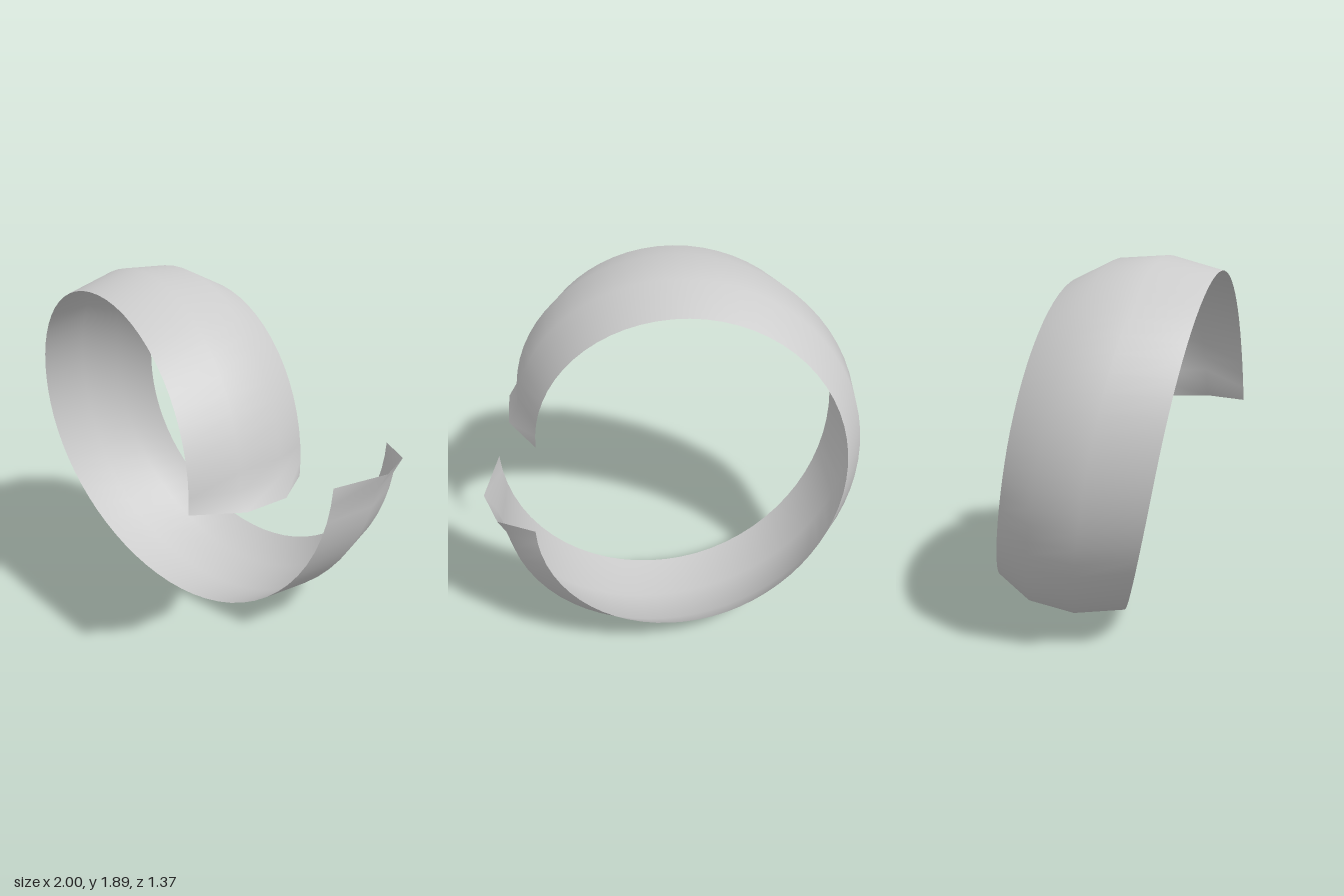
import * as THREE from 'three';

// Four edge lines of the band, each given as [radius, z] at every quarter turn;
// flare is how far the line kicks outward at the two open ends.
const LINES = [
  { keys: [[0.79, -0.03], [0.795, -0.18], [0.795, -0.40], [0.80, -0.61], [0.80, -0.69]], flare: [0, 0] },
  { keys: [[0.885, 0.21], [0.895, 0.03], [0.91, -0.23], [0.93, -0.45], [0.94, -0.59]], flare: [0.045, 0.04] },
  { keys: [[0.885, 0.46], [0.91, 0.28], [0.95, 0.0], [0.985, -0.21], [1.005, -0.38]], flare: [0.045, 0.045] },
  { keys: [[0.79, 0.68], [0.835, 0.55], [0.89, 0.30], [0.96, 0.05], [0.98, -0.06]], flare: [0, 0] },
];
const STEPS = 64;
const CENTRE_X = -0.05;
const CENTRE_Y = 0.99;

function bandGeometry() {
  const curves = LINES.map(l => new THREE.SplineCurve(l.keys.map(k => new THREE.Vector2(...k))));
  const n = LINES.length;
  const positions = [];
  const indices = [];
  for (let i = 0; i <= STEPS; i++) {
    const t = i / STEPS;
    curves.forEach((curve, j) => {
      const p = curve.getPoint(t);
      let r = p.x;
      if (i === 0) r += LINES[j].flare[0];
      if (i === STEPS) r += LINES[j].flare[1];
      // the cut ends lean very slightly
      const start = 0.008 * j;
      const end = Math.PI * 2 - 0.004 * j;
      const a = start + (end - start) * t;
      positions.push(CENTRE_X + r * Math.cos(a), CENTRE_Y + r * Math.sin(a), p.y);
      if (i < STEPS && j < n - 1) {
        const k = i * n + j;
        indices.push(k, k + n, k + 1, k + 1, k + n, k + n + 1);
      }
    });
  }
  const g = new THREE.BufferGeometry();
  g.setAttribute('position', new THREE.Float32BufferAttribute(positions, 3));
  // wind the faces so their fronts point away from the axis
  for (let i = 0; i < indices.length; i += 3) {
    [indices[i + 1], indices[i + 2]] = [indices[i + 2], indices[i + 1]];
  }
  g.setIndex(indices);
  g.computeVertexNormals();
  return g;
}

export function createModel() {
  const group = new THREE.Group();
  group.name = 'spiralRing';
  // one thin helical band making a single open turn
  const band = new THREE.Mesh(
    bandGeometry(),
    new THREE.MeshStandardMaterial({ color: 0xcccccc, side: THREE.DoubleSide })
  );
  band.name = 'spiralBand';
  group.add(band);
  return group;
}
